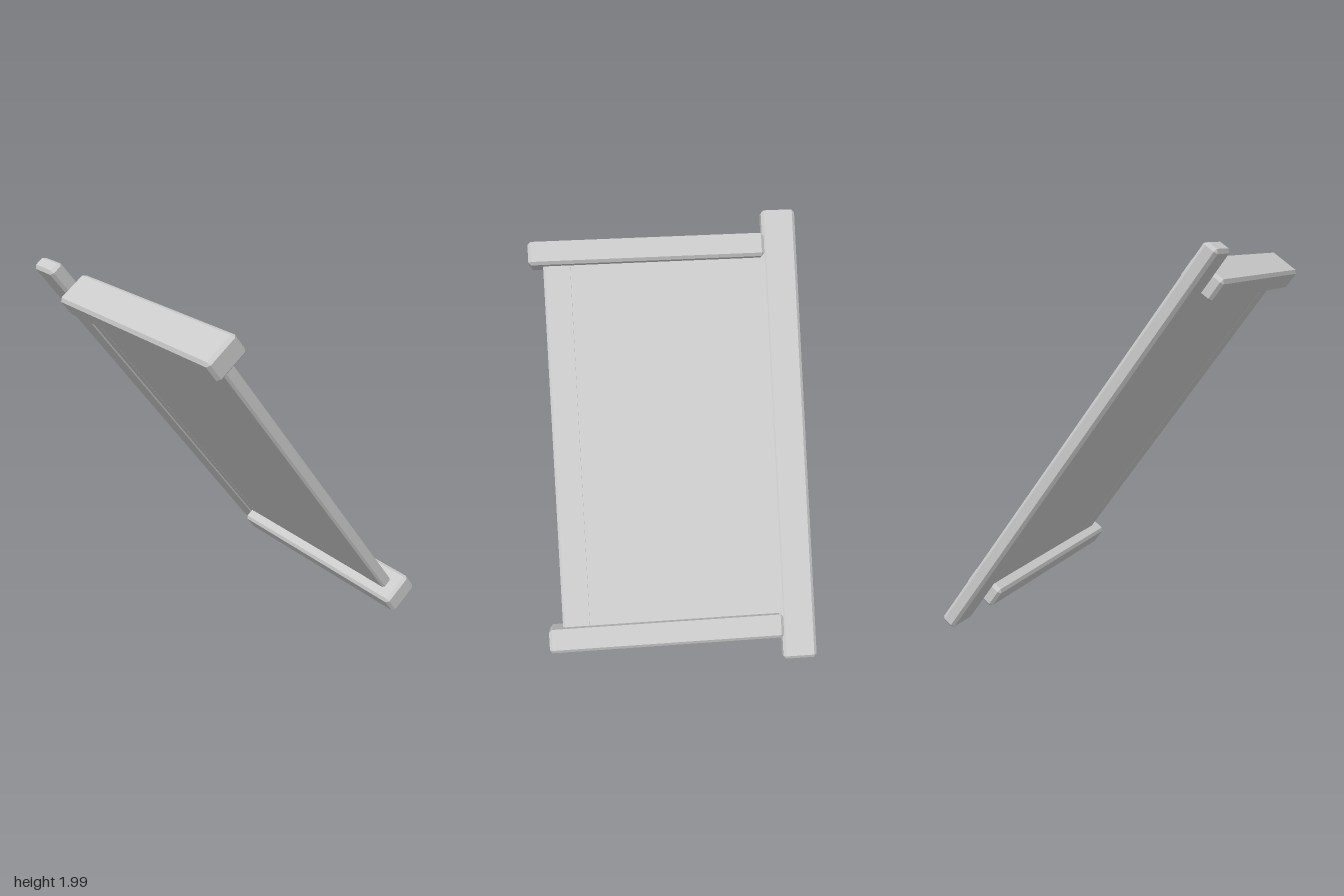
import * as THREE from 'three';
import { ConvexGeometry } from 'three/addons/geometries/ConvexGeometry.js';

const material = new THREE.MeshStandardMaterial({ color: 0xcccccc, flatShading: true });

// Box with all edges cut at 45 degrees by c
function chamferBox(w, h, d, c) {
  const points = [];
  for (const sx of [-1, 1]) for (const sy of [-1, 1]) for (const sz of [-1, 1]) {
    for (let full = 0; full < 3; full++) {
      const cut = [c, c, c];
      cut[full] = 0;
      points.push(new THREE.Vector3(
        sx * (w / 2 - cut[0]), sy * (h / 2 - cut[1]), sz * (d / 2 - cut[2])));
    }
  }
  return new ConvexGeometry(points);
}

export function createModel() {
  const model = new THREE.Group();
  model.name = 'leaningPanel';

  // Whole panel leans sideways: local x is its thickness, local y its length
  const panel = new THREE.Group();
  panel.name = 'panel';
  panel.position.y = 1;
  panel.rotation.z = 0.633;
  model.add(panel);

  function part(name, thickness, length, z0, z1, chamfer, y = 0) {
    const mesh = new THREE.Mesh(chamferBox(thickness, length, z1 - z0, chamfer), material);
    mesh.name = name;
    mesh.position.set(0, y, (z0 + z1) / 2);
    panel.add(mesh);
  }

  // Long beam along the back edge, running past the cross rails
  part('backBeam', 0.08, 2.435, -0.72, -0.537, 0.016);

  // Thick cross rails at both ends
  part('upperRail', 0.19, 0.124, -0.537, 0.718, 0.016, 1.025);
  part('lowerRail', 0.19, 0.124, -0.537, 0.718, 0.016, -1.025);

  // Edge slats and the flat board between them
  part('frontSlat', 0.066, 2.05, 0.49, 0.645, 0.012);
  part('backSlat', 0.066, 2.05, -0.62, -0.465, 0.012);
  part('board', 0.064, 2.05, -0.48, 0.505, 0.001);

  return model;
}
